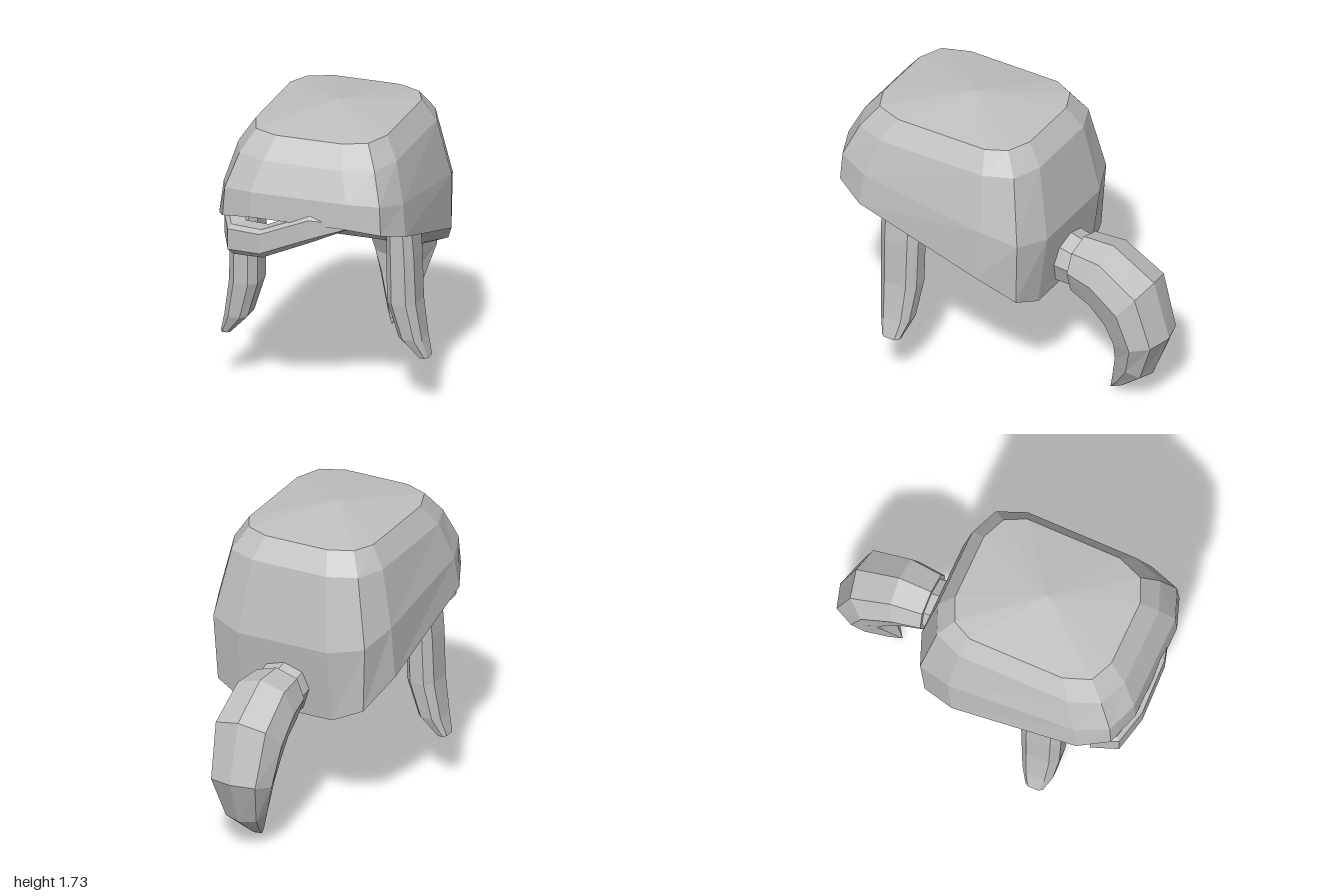
import * as THREE from 'three';

const hairMat = new THREE.MeshStandardMaterial({ color: 0xc0c0c0, flatShading: true });
hairMat.name = 'hair grey';

const V = (x, y, z) => new THREE.Vector3(x, y, z);
const centre = pts => pts.reduce((s, p) => s.add(p), V(0, 0, 0)).divideScalar(pts.length);

// Mesh from a list of corner triples
function meshFrom(name, tris) {
  const g = new THREE.BufferGeometry().setFromPoints(tris.flat());
  g.computeVertexNormals();
  const m = new THREE.Mesh(g, hairMat);
  m.name = name;
  return m;
}

// Skin rings of equal length, cap the ends, and turn all faces outward
function loft(name, rings, capEnds = true) {
  const tris = [];
  const n = rings[0].length;
  for (let r = 0; r < rings.length - 1; r++) {
    for (let i = 0; i < n; i++) {
      const j = (i + 1) % n;
      const [a, b, c, d] = [rings[r][i], rings[r][j], rings[r + 1][j], rings[r + 1][i]];
      tris.push([a, b, c], [a, c, d]);
    }
  }
  const cap = (ring, flip) => {
    const c = centre(ring);
    ring.forEach((p, i) => {
      const q = ring[(i + 1) % n];
      tris.push(flip ? [c, q, p] : [c, p, q]);
    });
  };
  if (capEnds) {
    cap(rings[0], true);
    cap(rings[rings.length - 1], false);
  }
  const solid = tris.filter(([a, b, c]) =>
    b.clone().sub(a).cross(c.clone().sub(a)).length() > 1e-7);
  const mid = centre(rings.flat());
  const volume = solid.reduce((s, [a, b, c]) => s + a.clone().sub(mid)
    .dot(b.clone().sub(mid).cross(c.clone().sub(mid))), 0);
  if (volume < 0) solid.forEach(t => t.reverse());
  return meshFrom(name, solid);
}

// Half ring of the cap, front to back, mirrored to a full ring
const mirrored = half => [
  ...half.map(p => V(...p)),
  ...half.slice().reverse().map(([x, y, z]) => V(-x, y, z)),
];

const rim = [
  [0.29, 1.22, 0.98], [0.48, 1.18, 0.91], [0.565, 1.12, 0.73],
  [0.565, 0.88, -0.05], [0.47, 0.73, -0.26], [0.29, 0.65, -0.30],
];
const capHalves = [
  rim,
  [[0.29, 1.37, 0.97], [0.47, 1.35, 0.90], [0.545, 1.31, 0.71],
    [0.555, 1.20, -0.08], [0.49, 1.13, -0.28], [0.29, 1.10, -0.36]],
  [[0.24, 1.54, 0.89], [0.41, 1.54, 0.82], [0.48, 1.54, 0.64],
    [0.48, 1.54, -0.04], [0.41, 1.54, -0.21], [0.24, 1.54, -0.28]],
  [[0.20, 1.665, 0.79], [0.34, 1.665, 0.73], [0.40, 1.665, 0.57],
    [0.40, 1.665, -0.01], [0.34, 1.665, -0.13], [0.20, 1.665, -0.19]],
];

// Slightly hollow underside: flat strips across, facets down each side
function underside() {
  const tris = [];
  const brow = [0.42, 1.19, 0.64];
  const crown = [0.42, 0.92, 0.10];
  const nape = [0.30, 0.70, -0.17];
  const R = p => V(...p);
  const L = ([x, y, z]) => V(-x, y, z);
  const rows = [rim[0], brow, crown, nape, rim[5]];
  for (let i = 0; i < rows.length - 1; i++) {
    const [a, b] = [rows[i], rows[i + 1]];
    tris.push([L(a), R(b), R(a)], [L(a), L(b), R(b)]);
  }
  const facets = [
    [rim[0], brow, rim[1]], [rim[1], brow, rim[2]], [rim[2], brow, crown],
    [rim[2], crown, rim[3]], [rim[3], crown, nape], [rim[3], nape, rim[4]],
    [nape, rim[5], rim[4]],
  ];
  for (const [a, b, c] of facets) tris.push([R(a), R(b), R(c)], [L(a), L(c), L(b)]);
  return meshFrom('underside', tris);
}

// Chamfered rectangle outline
const octagon = (a, b) => [
  [a, b * 0.6], [a * 0.5, b], [-a * 0.5, b], [-a, b * 0.6],
  [-a, -b * 0.6], [-a * 0.5, -b], [a * 0.5, -b], [a, -b * 0.6],
];

// Lock hanging beside the face: x, y, half width, half depth
function sideLock(name, side) {
  const sections = [
    [0.465, 1.15, 0.075, 0.125], [0.475, 0.92, 0.083, 0.125], [0.48, 0.64, 0.087, 0.118],
    [0.53, 0.42, 0.07, 0.095], [0.60, 0.305, 0.03, 0.055],
  ];
  return loft(name, sections.map(([x, y, a, b]) =>
    octagon(a, b).map(([u, w]) => V(side * (x + u), y, 0.49 + w))));
}

// Lock swept across the forehead: centre, half height, half depth
function fringe() {
  const path = [
    [-0.46, 1.08, 0.77, 0.085, 0.055], [-0.40, 1.045, 0.89, 0.093, 0.065],
    [-0.22, 1.06, 0.935, 0.088, 0.06], [0.07, 1.19, 0.94, 0.085, 0.06],
    [0.32, 1.225, 0.90, 0.012, 0.03],
  ];
  const rings = path.map(([x, y, z, h, d], i) => {
    const p = path[Math.max(i - 1, 0)];
    const q = path[Math.min(i + 1, path.length - 1)];
    const out = V(-(q[2] - p[2]), 0, q[0] - p[0]).normalize();
    return [[-1, 1], [0.6, 1], [1, 0.75], [1, -0.6], [0.4, -1], [-1, -1]]
      .map(([u, v]) => V(x, y + v * h, z).addScaledVector(out, u * d));
  });
  return loft('fringe', rings);
}

// Curved tail pieces: outer z, y, inner z, y, half width
function tailPiece(name, sections) {
  const half = [[0, 1], [0.75, 0.76], [1, 0.1], [0.7, -0.72]];
  const outline = [...half, [0, -1], ...half.slice(1).reverse().map(([u, v]) => [-u, v])];
  return loft(name, sections.map(([oz, oy, iz, iy, w]) => outline.map(([u, v]) => {
    const t = (1 - v) / 2;
    return V(u * w, oy + (iy - oy) * t, oz + (iz - oz) * t);
  })));
}

export function createModel() {
  const model = new THREE.Group();
  model.name = 'hair';

  const apex = Array.from({ length: 12 }, () => V(0, 1.73, 0.30));
  model.add(loft('hairCap', [...capHalves.map(mirrored), apex], false));
  model.add(underside());
  model.add(fringe());
  model.add(sideLock('leftSideLock', 1), sideLock('rightSideLock', -1));

  model.add(tailPiece('ponytailBand', [
    [-0.25, 0.98, -0.20, 0.70, 0.155],
    [-0.35, 0.97, -0.31, 0.65, 0.155],
    [-0.45, 0.94, -0.42, 0.65, 0.15],
  ]));
  model.add(tailPiece('ponytail', [
    [-0.43, 0.975, -0.41, 0.62, 0.175],
    [-0.63, 0.98, -0.54, 0.56, 0.20],
    [-0.90, 0.82, -0.62, 0.48, 0.215],
    [-1.00, 0.47, -0.66, 0.39, 0.19],
    [-0.89, 0.19, -0.66, 0.29, 0.13],
    [-0.71, 0.05, -0.63, 0.11, 0.05],
    [-0.612, 0.00, -0.61, 0.005, 0.003],
  ]));
  return model;
}
